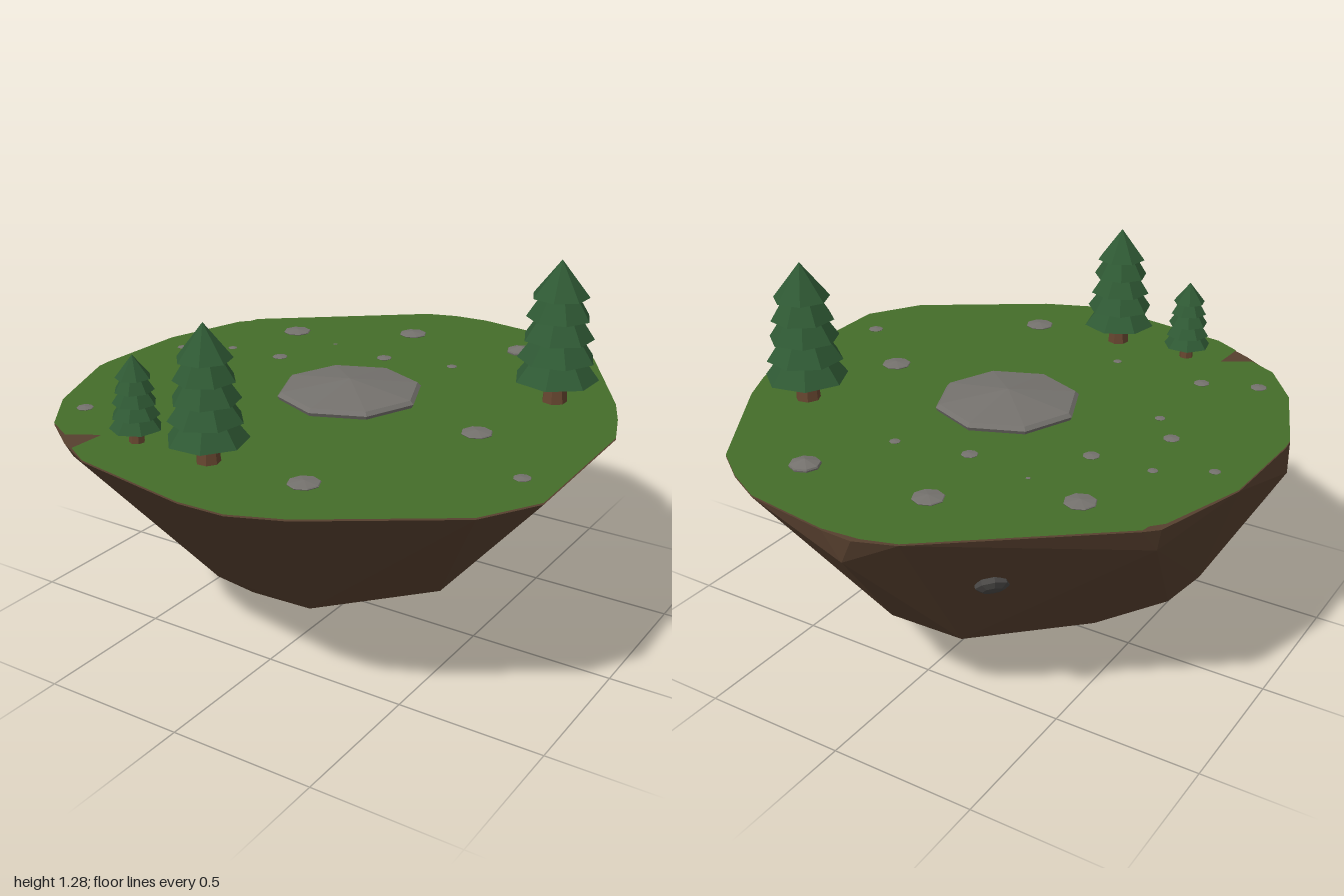
import * as THREE from 'three';
import { ConvexGeometry } from 'three/addons/geometries/ConvexGeometry.js';

const TOP = 0.79;
const mat = (color) => new THREE.MeshStandardMaterial({ color, flatShading: true, roughness: 1 });
const grassMat = mat(0x446d29), soilMat = mat(0x57402f), rockMat = mat(0x74716d);
const darkRockMat = mat(0x4a4846), leafMat = mat(0x2f5934), trunkMat = mat(0x65452f);

function add(parent, name, geometry, material) {
  const mesh = new THREE.Mesh(geometry, material);
  mesh.name = name;
  parent.add(mesh);
  return mesh;
}

// Rim of the island as [x, z]
const rim = [
  [-0.11, -1], [0, -0.995], [0.3, -0.95], [0.43, -0.88], [0.55, -0.79], [0.8, -0.39],
  [0.86, -0.26], [0.915, -0.11], [0.93, 0.45], [0.815, 0.64], [0.39, 0.925], [0.22, 0.995],
  [0.06, 1], [-0.37, 0.925], [-0.52, 0.845], [-0.66, 0.745], [-0.79, 0.57], [-0.92, 0.25],
  [-0.925, 0.2], [-0.915, -0.15], [-0.82, -0.48], [-0.78, -0.52], [-0.24, -0.95],
];

// Lower corners of the soil as [x, y, z]
const lower = [
  [-0.93, 0.69, 0.22], [-0.06, 0.69, -0.985], [-0.8, 0.7, -0.46], [-0.5, 0.74, 0.83],
  [-0.28, 0.19, 0.41], [0.1, 0.18, 0.41], [-0.2, 0.11, 0.32], [0.02, 0.11, 0.3],
  [0.43, 0.21, 0.12], [0.42, 0.21, -0.1], [0.25, 0.21, -0.45],
  [0.05, 0.27, -0.62], [-0.2, 0.25, -0.59], [-0.5, 0.23, -0.26],
  [-0.64, 0.22, 0], [-0.72, 0.31, 0.06], [-0.53, 0.24, 0.18],
  [-0.16, 0.01, 0], [-0.08, 0, 0.03], [-0.07, 0, -0.05], [0, 0.01, 0],
];

function addIsland(group) {
  const corners = [
    ...rim.map(([x, z]) => new THREE.Vector3(x, TOP - 0.006, z)),
    ...lower.map((p) => new THREE.Vector3(...p)),
  ];
  add(group, 'soil', new ConvexGeometry(corners), soilMat);

  // Grass sheet, notched where bare soil shows at the rim
  const notched = rim.flatMap(([x, z]) => {
    if (x === -0.52) return [[-0.465, 0.87], [-0.46, 0.74], [-0.56, 0.8]];
    if (x === -0.82) return [[-0.82, -0.45], [-0.785, -0.49]];
    if (x === -0.11) return [[-0.13, -0.985]];
    return [[x, z]];
  });
  const shape = new THREE.Shape(notched.map(([x, z]) => new THREE.Vector2(x, -z)));
  const grass = add(group, 'grass', new THREE.ShapeGeometry(shape).rotateX(-Math.PI / 2), grassMat);
  grass.position.y = TOP;
}

// Flat eight-sided stone of radius 1, its base at y = 0
const stoneProfile = [[0.92, -0.1], [1, 0.05], [0.95, 0.1], [0, 0.23]];
const stoneGeometry = new THREE.LatheGeometry(stoneProfile.map((p) => new THREE.Vector2(...p)), 8);

function addStone(group, name, x, z, r, tall = 1) {
  const stone = add(group, name, stoneGeometry, rockMat);
  stone.position.set(x, TOP, z);
  stone.scale.set(r, r * tall, r);
}

// Conifer of five flared tiers and a trunk, scaled from height 1
function addTree(parent, x, z, height, turn) {
  const tree = new THREE.Group();
  tree.name = 'pineTree';
  add(tree, 'trunk', new THREE.CylinderGeometry(0.065, 0.09, 0.25, 7), trunkMat).position.y = 0.115;
  for (let i = 0; i < 5; i++) {
    const bottom = 0.165 + 0.145 * i, tall = i < 4 ? 0.22 : 0.255;
    const tier = add(tree, 'foliageTier',
      new THREE.CylinderGeometry(i < 4 ? 0.13 - 0.015 * i : 0, 0.295 - 0.024 * i, tall, 7), leafMat);
    tier.position.y = bottom + tall / 2;
    tier.rotation.y = i * Math.PI / 7;
  }
  tree.position.set(x, TOP, z);
  tree.rotation.y = turn;
  tree.scale.setScalar(height);
  parent.add(tree);
}

export function createModel() {
  const group = new THREE.Group();
  group.name = 'floatingIsland';
  addIsland(group);

  addStone(group, 'centreRock', 0, 0.008, 0.25);

  // Scattered stones as [x, z, radius, height factor]
  const stones = [
    [0.29, -0.715, 0.052, 2], [-0.155, -0.685, 0.052], [-0.55, -0.47, 0.052], [-0.34, -0.42, 0.008],
    [-0.1, -0.38, 0.028], [0.155, -0.43, 0.019], [-0.43, -0.185, 0.028], [-0.64, -0.175, 0.017],
    [-0.805, -0.08, 0.019], [-0.59, 0.06, 0.028], [-0.49, 0.18, 0.018], [0.53, 0.09, 0.052],
    [0.805, 0.33, 0.028], [-0.485, 0.52, 0.028], [-0.67, 0.59, 0.029], [-0.14, 0.54, 0.016],
    [0.29, 0.705, 0.052],
  ];
  stones.forEach(([x, z, r, tall]) => addStone(group, 'smallStone', x, z, r, tall));

  // Flat stones lying against the back left slope
  const slopeNormal = new THREE.Vector3(-0.5, -0.7, -0.5).normalize();
  for (const [x, y, z, r] of [[-0.375, 0.56, -0.68, 0.056], [-0.49, 0.49, -0.5, 0.044]]) {
    const stone = add(group, 'slopeStone', new THREE.SphereGeometry(r, 8, 5), darkRockMat);
    stone.position.set(x, y, z);
    stone.scale.y = 0.45;
    stone.quaternion.setFromUnitVectors(new THREE.Vector3(0, 1, 0), slopeNormal);
  }

  // Trees as [x, z, height, turn]
  const trees = [[0.612, -0.31, 0.487, 0.2], [-0.045, 0.725, 0.437, 0.5], [-0.33, 0.72, 0.285, 0.9]];
  trees.forEach((t) => addTree(group, ...t));
  return group;
}
